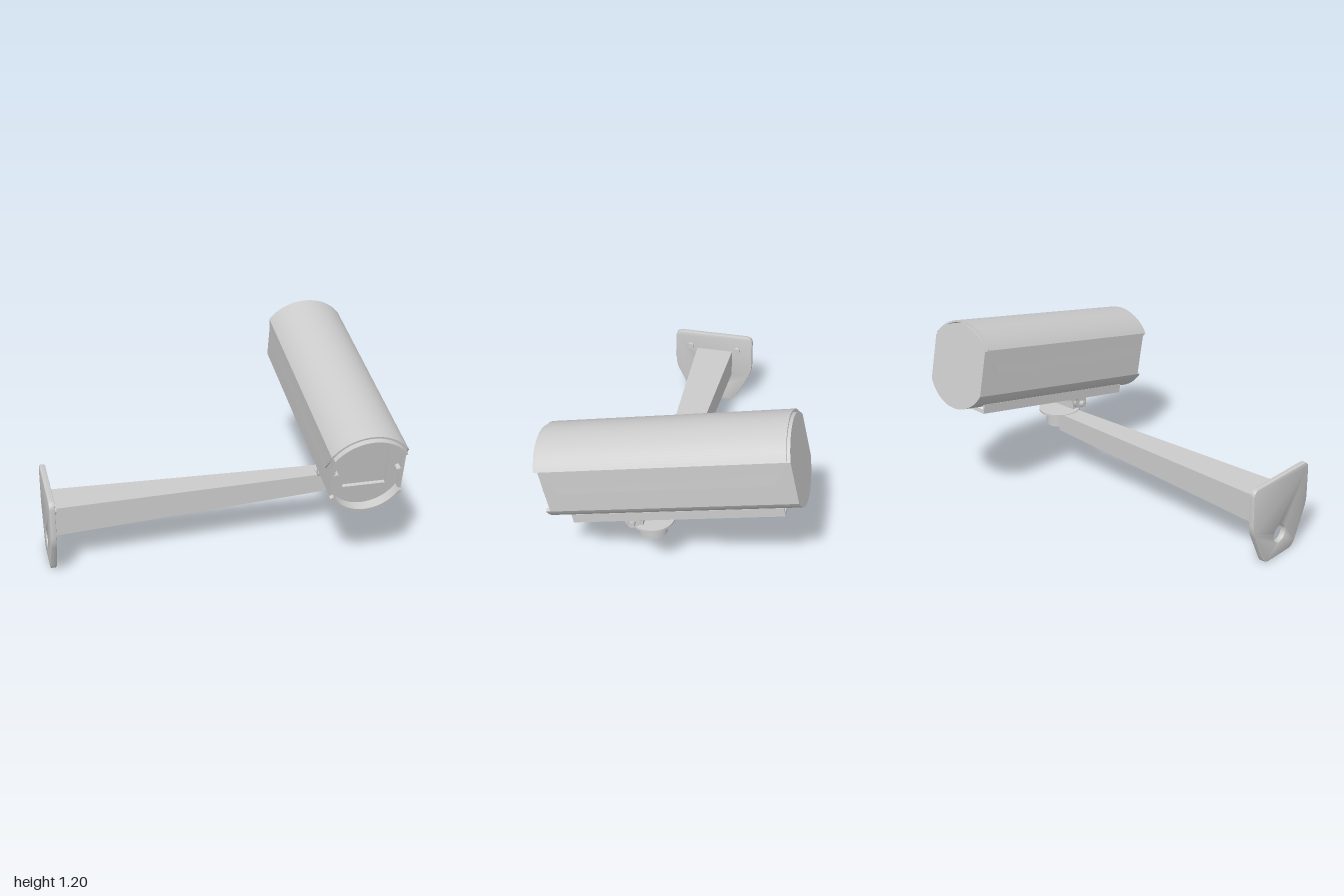
import * as THREE from 'three';
import { toCreasedNormals } from 'three/addons/utils/BufferGeometryUtils.js';

const grey = new THREE.MeshStandardMaterial({ color: 0xcccccc, side: THREE.DoubleSide });

function add(parent, name, geo, x = 0, y = 0, z = 0) {
  const mesh = new THREE.Mesh(geo, grey);
  mesh.name = name;
  mesh.position.set(x, y, z);
  parent.add(mesh);
  return mesh;
}

// Arc from +halfWidth to -halfWidth; ends at height yEnd, middle at yMid
function arc(halfWidth, yEnd, yMid, n = 20) {
  const s = yMid - yEnd;
  const r = (halfWidth ** 2 + s ** 2) / (2 * s);
  const a = Math.asin(halfWidth / Math.abs(r));
  return Array.from({ length: n + 1 }, (_, i) => {
    const t = a * (1 - (2 * i) / n);
    return new THREE.Vector2(Math.abs(r) * Math.sin(t), yMid - r + r * Math.cos(t));
  });
}

// Housing outline, shrunk by inset d
const topArc = (d) => arc(0.213 - d, 0.2 - d * 0.5, 0.312 - d);
const bottomArc = (d) => arc(0.213 - d, -0.07 + d * 0.5, -0.197 + d);
const section = (d) => [...topArc(d), ...bottomArc(d).reverse()];

function extrude(points, z0, z1, hole) {
  const shape = new THREE.Shape(points);
  if (hole) shape.holes.push(new THREE.Path(hole));
  const geo = new THREE.ExtrudeGeometry(shape, { depth: z1 - z0, bevelEnabled: false });
  geo.translate(0, 0, z0);
  return toCreasedNormals(geo, 0.5);
}

function rect(x, y0, y1) {
  return [[-x, y0], [x, y0], [x, y1], [-x, y1]].map((p) => new THREE.Vector2(...p));
}

// Polygon outline with rounded corners
function roundedShape(pts, r) {
  const shape = new THREE.Shape();
  const v = pts.map((p) => new THREE.Vector2(...p));
  v.forEach((p, i) => {
    const toward = (q) => p.clone().add(q.clone().sub(p).setLength(r));
    const a = toward(v[(i + v.length - 1) % v.length]);
    const b = toward(v[(i + 1) % v.length]);
    if (i) shape.lineTo(a.x, a.y);
    else shape.moveTo(a.x, a.y);
    shape.quadraticCurveTo(p.x, p.y, b.x, b.y);
  });
  shape.closePath();
  return shape;
}

function createHousing() {
  const g = new THREE.Group();
  g.name = 'cameraHousing';

  add(g, 'housingBody', extrude(section(0), -0.63, 0.6));
  add(g, 'rearCap', extrude(section(0), -0.72, -0.63));

  // Front bezel with projecting lips above and below
  add(g, 'frontBezel', extrude(section(0), 0.6, 0.68, section(0.02)));
  add(g, 'topLip', extrude([...topArc(0), ...topArc(0.02).reverse()], 0.68, 0.705));
  add(g, 'bottomLip', extrude([...bottomArc(0), ...bottomArc(0.02).reverse()], 0.68, 0.705));
  add(g, 'frontPanel', extrude(section(0.02), 0.61, 0.645, rect(0.128, -0.045, 0.195)));
  add(g, 'window', new THREE.BoxGeometry(0.26, 0.244, 0.02), 0, 0.075, 0.612);
  for (const s of [-1, 1]) {
    const screw = new THREE.CylinderGeometry(0.018, 0.018, 0.045, 20).rotateX(Math.PI / 2);
    add(g, 'bezelScrew', screw, s * 0.186, 0.07, 0.665);
  }

  // Sun shield: arched sheet whose side flaps are cut back at both ends
  const v2 = (x, y) => new THREE.Vector2(x, y);
  const shield = new THREE.ExtrudeGeometry(new THREE.Shape([
    v2(0.226, 0.06), ...arc(0.226, 0.21, 0.328, 28), v2(-0.226, 0.06),
    v2(-0.216, 0.06), ...arc(0.216, 0.205, 0.317, 28).reverse(), v2(0.216, 0.06),
  ]), { depth: 1, bevelEnabled: false });
  const p = shield.attributes.position;
  for (let i = 0; i < p.count; i++) {
    const k = Math.min(1, (p.getY(i) - 0.06) / 0.14);
    p.setZ(i, p.getZ(i) > 0.5 ? 0.585 + 0.092 * k : -0.61 - 0.093 * k);
  }
  add(g, 'sunShield', toCreasedNormals(shield, 0.5));

  // Mounting frame under the housing
  for (const s of [-1, 1]) {
    add(g, 'mountingRail', new THREE.BoxGeometry(0.012, 0.055, 1.21), s * 0.145, -0.173, -0.01);
    add(g, 'railFoot', new THREE.BoxGeometry(0.03, 0.01, 1.21), s * 0.136, -0.197, -0.01);
    add(g, 'railEnd', new THREE.BoxGeometry(0.29, 0.02, 0.012), 0, -0.191, -0.01 + s * 0.6);
  }
  add(g, 'saddlePlate', new THREE.CylinderGeometry(0.125, 0.125, 0.04, 40), 0, -0.204, 0.195);

  g.position.set(0.771, 0.73, 0);
  g.rotation.x = THREE.MathUtils.degToRad(12);
  return g;
}

function createWallPlate() {
  const g = new THREE.Group();
  g.name = 'wallMount';
  const shape = roundedShape([
    [-0.13, 0.51], [-0.13, 0.25], [-0.01, 0], [0.26, 0], [0.38, 0.25], [0.38, 0.51],
  ], 0.045);
  shape.holes.push(new THREE.Path().absarc(0.125, 0.14, 0.053, 0, Math.PI * 2, true));
  const geo = new THREE.ExtrudeGeometry(shape, {
    depth: 0.025, bevelThickness: 0.005, bevelSize: 0.005, bevelOffset: -0.005,
    bevelSegments: 2, curveSegments: 24,
  }).rotateY(-Math.PI / 2);
  add(g, 'wallPlate', toCreasedNormals(geo, 0.5), -0.97);
  for (const [z, y] of [[0.28, 0.41], [-0.03, 0.41], [0.125, 0.045]]) {
    const screw = new THREE.CylinderGeometry(0.018, 0.022, 0.02, 24).rotateZ(-Math.PI / 2);
    add(g, 'wallScrew', screw, -0.96, y, z);
  }
  return g;
}

// Tapered channel arm, open underneath
function createArm() {
  const g = new THREE.Group();
  g.name = 'arm';
  const lerp = THREE.MathUtils.lerp;
  const top = 0.395, wall = 0.012;
  function tapered(name, place) {
    const geo = new THREE.BoxGeometry(1, 1, 1);
    const p = geo.attributes.position;
    for (let i = 0; i < p.count; i++) {
      const t = p.getX(i) + 0.5;
      const [y, z] = place(p.getY(i) + 0.5, p.getZ(i), lerp(0.117, 0.06, t), lerp(0.215, 0.28, t));
      p.setXYZ(i, lerp(-0.967, 0.7, t), y, 0.12 + z);
    }
    geo.computeVertexNormals();
    add(g, name, geo);
  }
  tapered('armTop', (v, w, half) => [top - wall + wall * v, w * 2 * half]);
  for (const s of [-1, 1]) {
    tapered('armSide', (v, w, half, low) => [lerp(low, top, v), s * (half - wall / 2) + w * wall]);
    tapered('armLip', (v, w, half, low) => [low + v * 0.01, s * (half - 0.01) + w * 0.02]);
  }
  add(g, 'armEnd', new THREE.BoxGeometry(wall, 0.115, 0.12), 0.694, 0.3375, 0.12);
  return g;
}

function createSwivel() {
  const g = new THREE.Group();
  g.name = 'swivel';
  add(g, 'swivelPost', new THREE.CylinderGeometry(0.083, 0.083, 0.09, 40), 0, 0.343, 0.125);
  add(g, 'swivelDisc', new THREE.CylinderGeometry(0.13, 0.13, 0.014, 48), 0, 0.392, 0.13);
  add(g, 'hingeBlock', new THREE.BoxGeometry(0.18, 0.09, 0.08), 0, 0.44, 0.2);
  for (const s of [-1, 1]) {
    const lug = new THREE.CylinderGeometry(0.048, 0.048, 0.022, 32).rotateZ(Math.PI / 2);
    add(g, 'tiltLug', lug, s * 0.1, 0.445, 0.215);
    const bolt = new THREE.CylinderGeometry(0.02, 0.02, 0.03, 6).rotateZ(Math.PI / 2);
    add(g, 'tiltBolt', bolt, s * 0.125, 0.43, 0.215);
  }
  g.position.x = 0.765;
  return g;
}

export function createModel() {
  const model = new THREE.Group();
  model.name = 'securityCamera';
  model.add(createHousing(), createWallPlate(), createArm(), createSwivel());
  return model;
}
